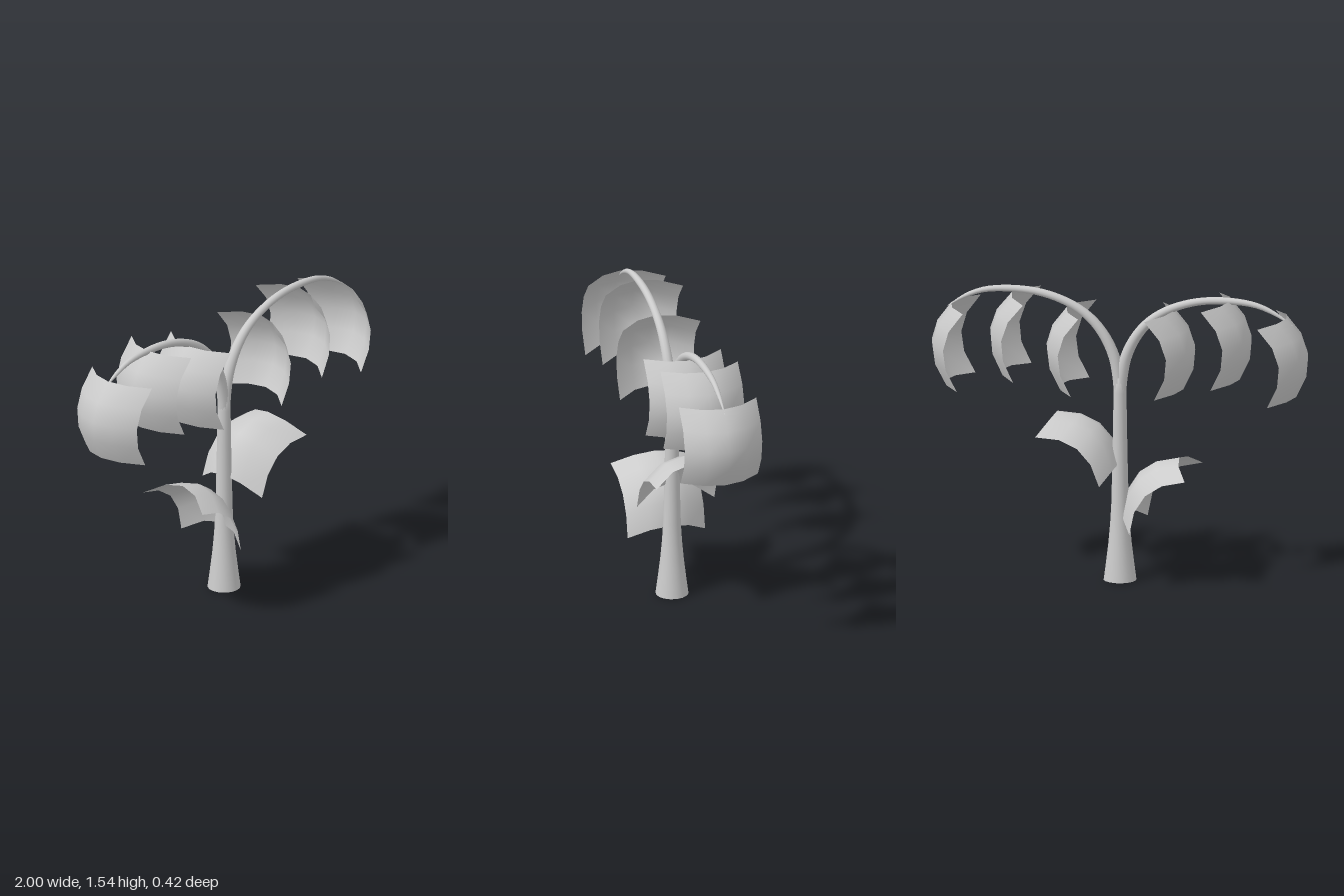
import * as THREE from 'three';

const material = new THREE.MeshStandardMaterial({ color: 0xcccccc });
const leafMaterial = new THREE.MeshStandardMaterial({ color: 0xcccccc, side: THREE.DoubleSide });

// Tube whose rings shrink along the path; radii are sampled evenly over its length
function taperedTube(points, radii, segments, sides) {
  const curve = new THREE.CatmullRomCurve3(points);
  const geometry = new THREE.TubeGeometry(curve, segments, 1, sides);
  const pos = geometry.attributes.position;
  const v = new THREE.Vector3();
  for (let i = 0; i <= segments; i++) {
    const t = i / segments;
    const centre = curve.getPointAt(t);
    const f = t * (radii.length - 1);
    const k = Math.min(Math.floor(f), radii.length - 2);
    const r = THREE.MathUtils.lerp(radii[k], radii[k + 1], f - k);
    for (let j = 0; j <= sides; j++) {
      const n = i * (sides + 1) + j;
      v.fromBufferAttribute(pos, n).sub(centre).multiplyScalar(r).add(centre);
      pos.setXYZ(n, v.x, v.y, v.z);
    }
  }
  return geometry;
}

// Square leaf bent both ways, its apex at the origin bulging toward +x
function leafGeometry() {
  const half = 0.21;
  const geometry = new THREE.PlaneGeometry(2 * half, 2 * half, 4, 4).rotateY(Math.PI / 2);
  const pos = geometry.attributes.position;
  for (let i = 0; i < pos.count; i++) {
    const along = pos.getY(i) / half;
    const across = pos.getZ(i) / half;
    pos.setX(i, -0.09 * along * along - 0.108 * across * across);
  }
  geometry.computeVertexNormals();
  return geometry;
}

export function createModel() {
  const group = new THREE.Group();
  const add = (geometry, name, mat = material) => {
    const mesh = new THREE.Mesh(geometry, mat);
    mesh.name = name;
    group.add(mesh);
    return mesh;
  };

  // Flared trunk with a flat base
  const profile = [
    [0.086, 0], [0.073, 0.1], [0.061, 0.2], [0.052, 0.3], [0.046, 0.4],
    [0.041, 0.6], [0.037, 0.8], [0.034, 1.0], [0.031, 1.08], [0, 1.1],
  ].map(([r, y]) => new THREE.Vector2(r, y));
  add(new THREE.LatheGeometry(profile, 16), 'trunk');
  add(new THREE.CircleGeometry(0.086, 16).rotateX(Math.PI / 2), 'trunkBase');

  // Two arching branches, mirrored
  const arch = [
    [0, 0.98], [0.012, 1.1], [0.035, 1.2], [0.09, 1.31], [0.17, 1.4], [0.28, 1.467],
    [0.43, 1.512], [0.6, 1.522], [0.73, 1.506], [0.83, 1.465], [0.915, 1.41],
  ];
  const radii = [0.031, 0.031, 0.029, 0.026, 0.023, 0.021, 0.02, 0.019, 0.016, 0.012, 0.002];
  for (const side of [1, -1]) {
    const path = arch.map(([x, y]) => new THREE.Vector3(side * x, y, 0));
    add(taperedTube(path, radii, 36, 12), side > 0 ? 'leftBranch' : 'rightBranch');
  }

  // Leaves: apex x, apex y, direction of the bulge in degrees
  const leaf = leafGeometry();
  const leaves = [
    ['leftOuterLeaf', 1.0, 1.228, 4],
    ['leftMiddleLeaf', 0.69, 1.305, 7],
    ['leftInnerLeaf', 0.39, 1.24, 5],
    ['rightOuterLeaf', -1.0, 1.25, 173],
    ['rightMiddleLeaf', -0.7, 1.325, 173],
    ['rightInnerLeaf', -0.4, 1.255, 173],
    ['leftLowerLeaf', 0.116, 0.825, 126],
    ['rightLowerLeaf', -0.104, 0.583, 44.5],
  ];
  for (const [name, x, y, angle] of leaves) {
    const mesh = add(leaf, name, leafMaterial);
    mesh.position.set(x, y, 0);
    mesh.rotation.z = THREE.MathUtils.degToRad(angle);
  }

  return group;
}
